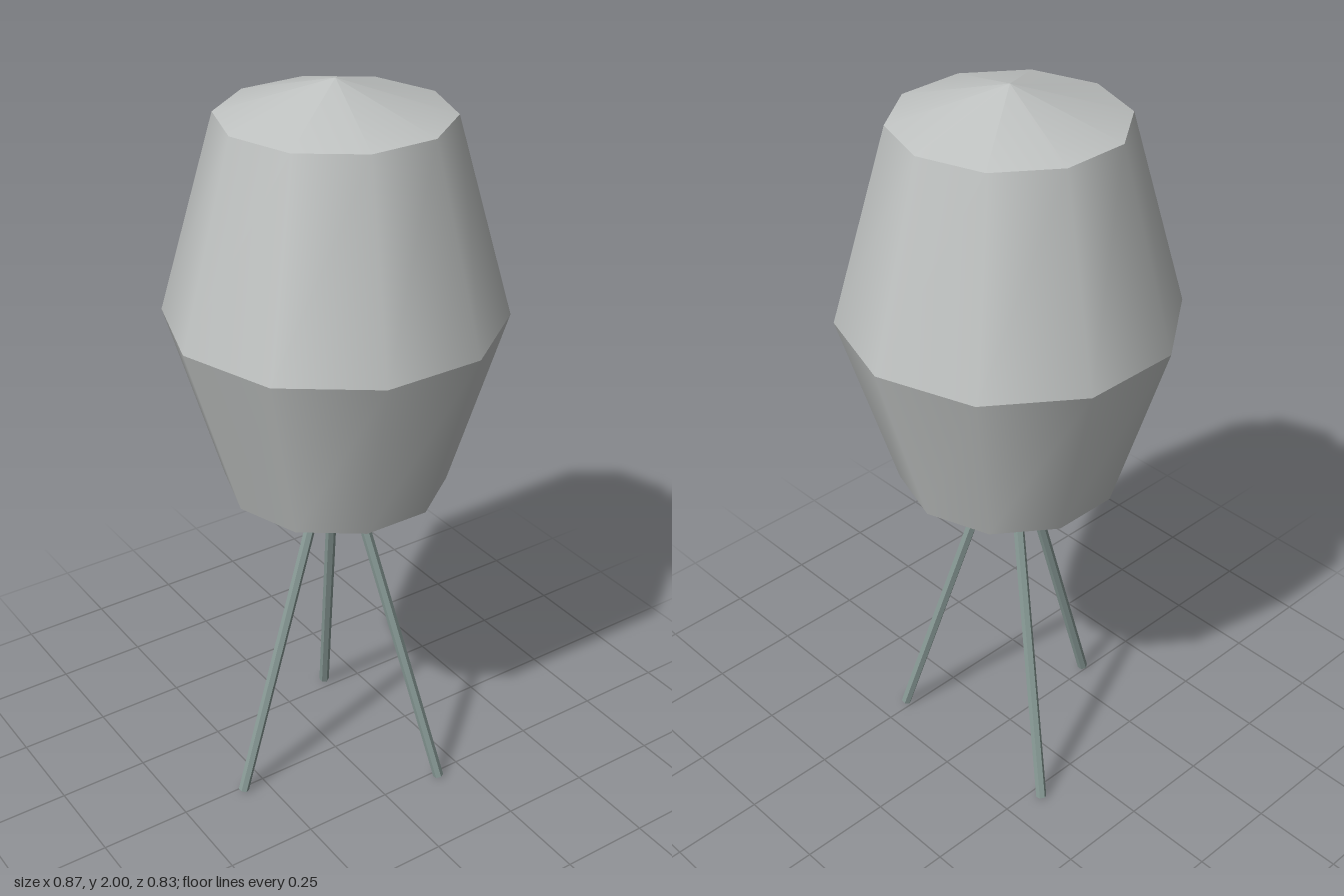
import * as THREE from 'three';

export function createModel() {
  const model = new THREE.Group();
  const shade = new THREE.MeshStandardMaterial({ color: 0xc0c3c2 });
  shade.name = 'pale grey shade';
  const metal = new THREE.MeshStandardMaterial({ color: 0x8a9c98, flatShading: true });
  metal.name = 'grey green metal';

  // Ten-sided shade: stacked cone sections with sharp rims, smooth around
  const profile = [[0, 0.835], [0.292, 0.92], [0.437, 1.4], [0.292, 1.915], [0, 2]];
  const names = ['bottomCone', 'lowerShade', 'upperShade', 'topCone'];
  const lantern = new THREE.Group();
  lantern.name = 'lantern';
  names.forEach((name, i) => {
    const [r0, y0] = profile[i];
    const [r1, y1] = profile[i + 1];
    const section = new THREE.CylinderGeometry(r1, r0, y1 - y0, 10, 1, true, Math.PI / 2);
    section.translate(0, (y0 + y1) / 2, 0);
    const mesh = new THREE.Mesh(section, shade);
    mesh.name = name;
    lantern.add(mesh);
  });
  model.add(lantern);

  // Three splayed rods, 120 degrees apart
  const tripod = new THREE.Group();
  tripod.name = 'tripod';
  const up = new THREE.Vector3(0, 1, 0);
  for (let i = 0; i < 3; i++) {
    const a = THREE.MathUtils.degToRad(57.7 + 120 * i);
    const point = (r, y) => new THREE.Vector3(r * Math.cos(a), y, r * Math.sin(a));
    const foot = point(0.32, 0.004);
    const top = point(0.05, 0.9);
    const along = top.clone().sub(foot);
    const leg = new THREE.Mesh(new THREE.CylinderGeometry(0.0145, 0.0145, along.length(), 6), metal);
    leg.name = 'leg' + (i + 1);
    leg.position.copy(foot).add(top).multiplyScalar(0.5);
    leg.quaternion.setFromUnitVectors(up, along.normalize());
    tripod.add(leg);
  }
  model.add(tripod);
  return model;
}
